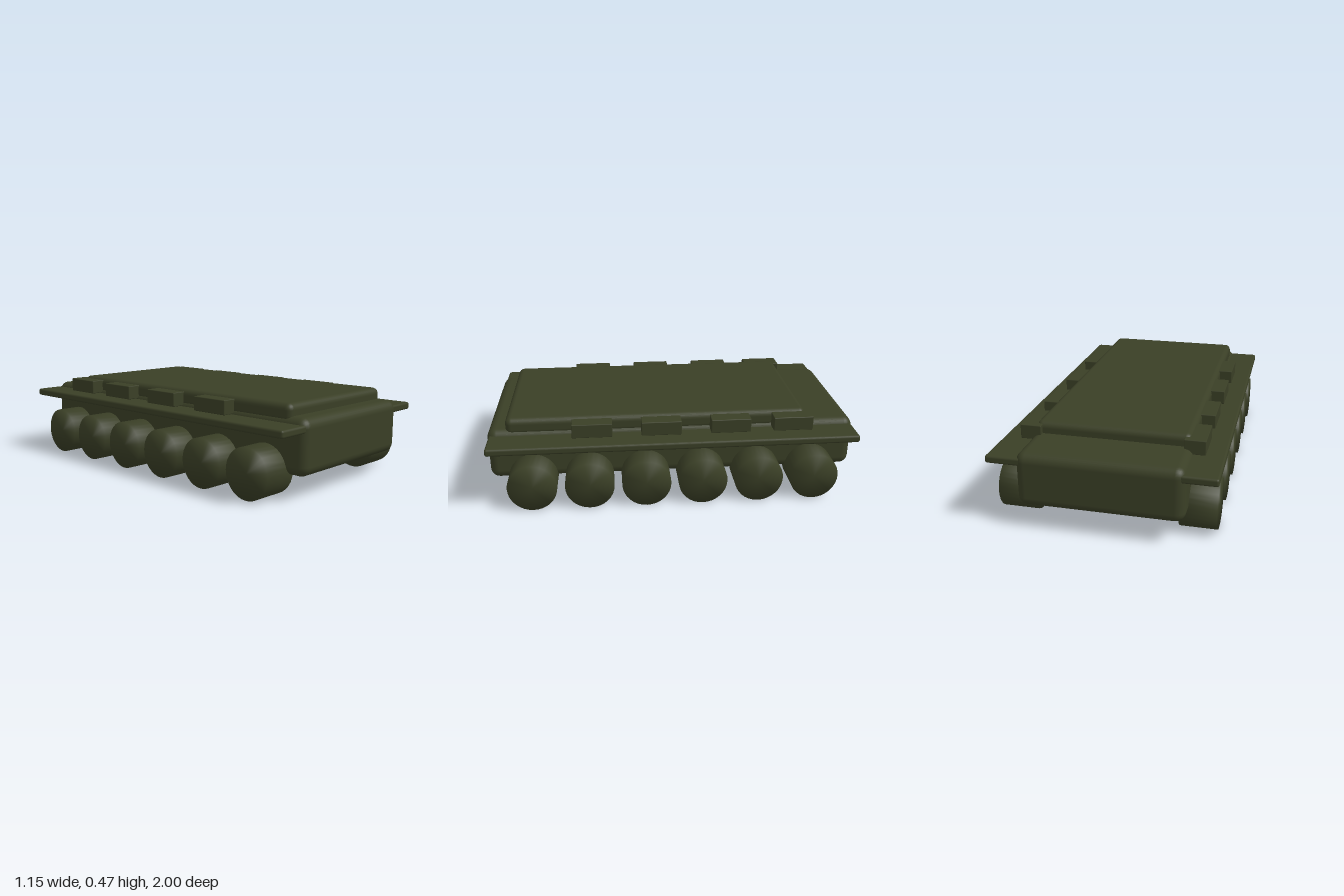
import * as THREE from 'three';
import { mergeVertices } from 'three/addons/utils/BufferGeometryUtils.js';
import { RoundedBoxGeometry } from 'three/addons/geometries/RoundedBoxGeometry.js';

const olive = new THREE.MeshStandardMaterial({ color: 0x3a3f26 });
olive.name = 'olive drab';

export function createModel() {
  const model = new THREE.Group();
  model.name = 'armouredHull';

  const add = (name, geometry, x, y, z) => {
    const mesh = new THREE.Mesh(geometry, olive);
    mesh.name = name;
    mesh.position.set(x, y, z);
    model.add(mesh);
  };

  // Main body and raised deck
  add('hull', new RoundedBoxGeometry(0.84, 0.285, 2, 3, 0.05), 0, 0.2625, 0);
  add('upperDeck', new RoundedBoxGeometry(0.81, 0.097, 1.63, 3, 0.034), 0, 0.4175, 0.085);

  // Wheel with normals blended over the rim, so it reads as a soft drum
  let wheel = new THREE.CylinderGeometry(0.132, 0.132, 0.19, 32);
  wheel.rotateZ(Math.PI / 2);
  wheel.deleteAttribute('normal');
  wheel.deleteAttribute('uv');
  wheel = mergeVertices(wheel);
  wheel.computeVertexNormals();

  const fender = new RoundedBoxGeometry(0.2, 0.04, 1.98, 2, 0.012);
  const box = new RoundedBoxGeometry(0.11, 0.076, 0.215, 1, 0.004);

  for (const [side, s] of [['left', 1], ['right', -1]]) {
    add(side + 'Fender', fender, s * 0.475, 0.355, 0);

    // Six road wheels
    for (let i = 0; i < 6; i++) {
      add(side + 'Wheel' + (i + 1), wheel, s * 0.465, 0.132, 0.765 - i * 0.305);
    }

    // Stowage boxes along the fender
    [0.4375, 0.0675, -0.3075, -0.6475].forEach((z, i) => {
      add(side + 'StowageBox' + (i + 1), box, s * 0.423, 0.415, z);
    });
  }
  return model;
}
